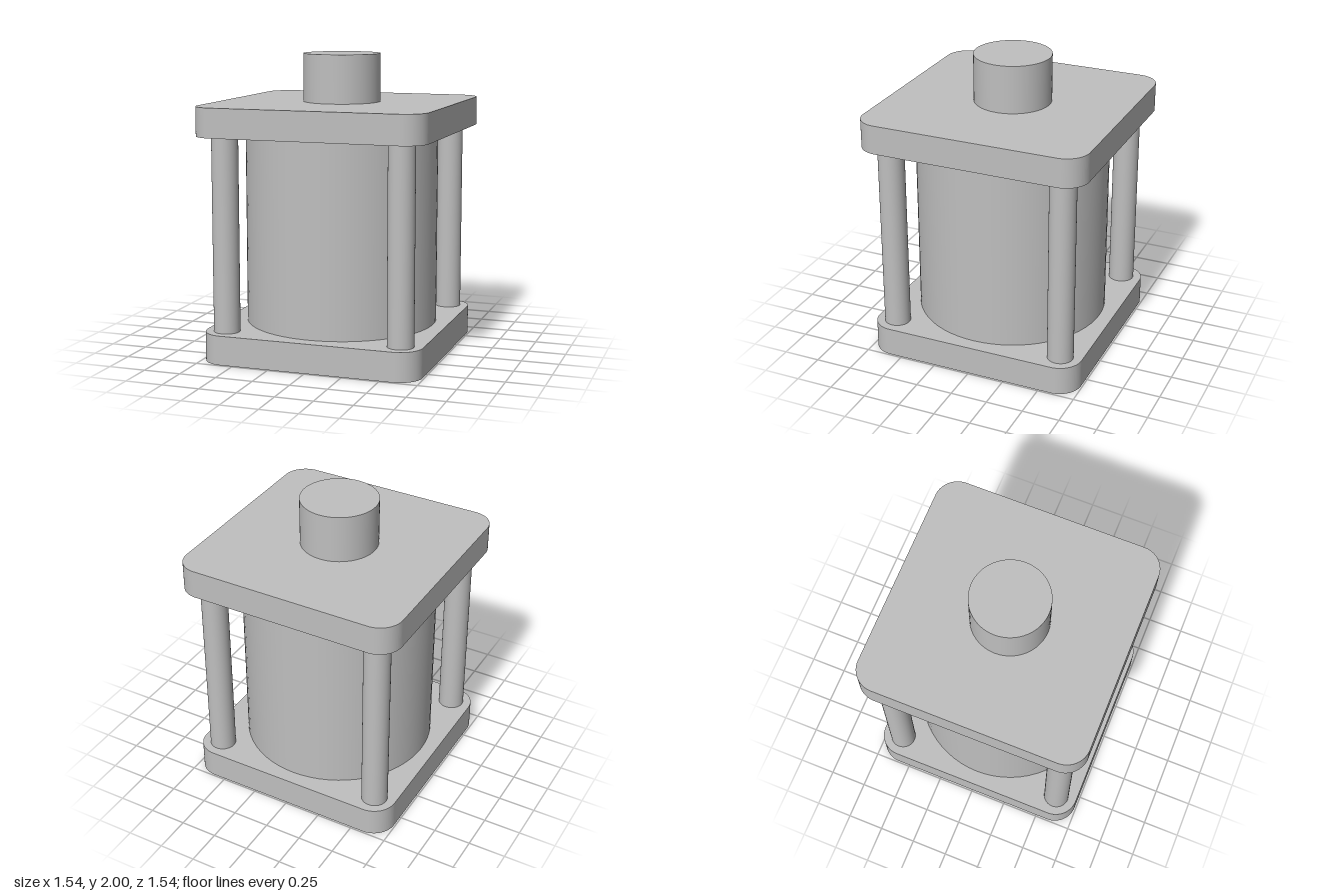
import * as THREE from 'three';

// Rounded square outline centred on the origin
function roundedSquare(half, r) {
  const s = new THREE.Shape();
  const c = half - r;
  [[1, 1], [-1, 1], [-1, -1], [1, -1]].forEach(([x, y], i) =>
    s.absarc(x * c, y * c, r, i * Math.PI / 2, (i + 1) * Math.PI / 2, false));
  s.closePath();
  return s;
}

export function createModel() {
  const group = new THREE.Group();
  const steel = new THREE.MeshStandardMaterial({ name: 'steel grey', color: 0xbfbfbf });

  const add = (name, geometry, x = 0, y = 0, z = 0) => {
    const mesh = new THREE.Mesh(geometry, steel);
    mesh.name = name;
    mesh.position.set(x, y, z);
    group.add(mesh);
  };
  const cylinder = (name, r, y0, y1, x = 0, z = 0) =>
    add(name, new THREE.CylinderGeometry(r, r, y1 - y0, 64), x, (y0 + y1) / 2, z);
  const plate = (name, shape, y0, y1) => {
    const geometry = new THREE.ExtrudeGeometry(shape, { depth: y1 - y0, bevelEnabled: false, curveSegments: 24 });
    geometry.rotateX(-Math.PI / 2);
    add(name, geometry, 0, y0, 0);
  };

  // End plates; the lower one has a round bore
  const base = roundedSquare(0.74, 0.155);
  base.holes.push(new THREE.Path().absarc(0, 0, 0.418, 0, Math.PI * 2, true));
  plate('bottomPlate', base, 0, 0.195);
  plate('topPlate', roundedSquare(0.772, 0.155), 1.487, 1.68);

  // Plug in the bore, leaving a ring-shaped groove
  cylinder('basePlug', 0.37, 0, 0.195);

  // Main barrel and the shaft above it
  cylinder('barrel', 0.645, 0.195, 1.487);
  cylinder('shaft', 0.257, 1.68, 2);

  // Four tie rods
  for (const x of [-1, 1]) for (const z of [-1, 1])
    cylinder('tieRod', 0.087, 0.195, 1.487, x * 0.595, z * 0.595);

  return group;
}
